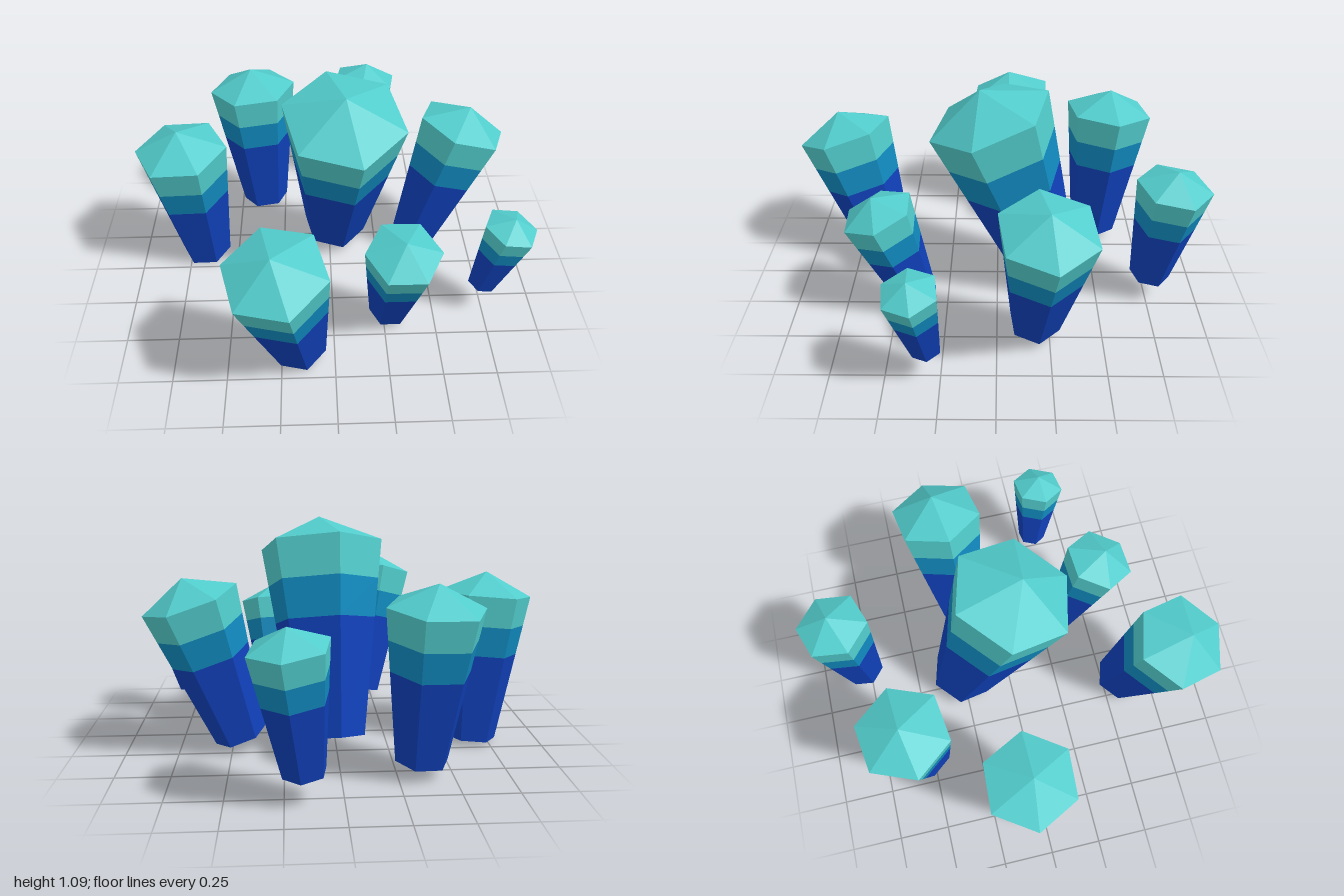
import * as THREE from 'three';

const SIDES = 6;
const BASE_RATIO = 0.55; // foot radius relative to shoulder radius
const SHOULDER = 1 / 1.15; // share of the axis below the pointed cap

// foot centre, tip, shoulder radius, heading of one corner in degrees
const CRYSTALS = [
  { name: 'centreCrystal', foot: [0.03, 0.075, -0.255], tip: [0.067, 1.085, 0.082], r: 0.3, turn: 15 },
  { name: 'leftBackCrystal', foot: [-0.36, 0.065, -0.53], tip: [-0.405, 0.87, -0.585], r: 0.222, turn: -8 },
  { name: 'farLeftCrystal', foot: [-0.67, 0.015, -0.135], tip: [-0.737, 0.83, -0.06], r: 0.226, turn: 3 },
  { name: 'backCrystal', foot: [0.165, 0.125, -0.765], tip: [0.23, 0.755, -0.83], r: 0.178, turn: -20 },
  { name: 'rightCrystal', foot: [0.46, 0.065, -0.18], tip: [0.705, 0.84, -0.22], r: 0.226, turn: -9 },
  { name: 'frontCrystal', foot: [-0.165, 0.035, 0.59], tip: [-0.265, 0.812, 0.812], r: 0.232, turn: 15.5 },
  { name: 'smallFrontCrystal', foot: [0.275, 0.055, 0.385], tip: [0.31, 0.66, 0.575], r: 0.175, turn: -2 },
  { name: 'smallRightCrystal', foot: [0.74, 0.155, 0.31], tip: [0.838, 0.6, 0.362], r: 0.13, turn: -6 },
];

// separate faces so that every facet gets its own flat normal
function faceted(geometry) {
  const g = geometry.toNonIndexed();
  g.computeVertexNormals();
  return g;
}

function buildCrystal({ name, foot, tip, r, turn }, mats) {
  const group = new THREE.Group();
  group.name = name;
  const base = new THREE.Vector3(...foot);
  const axis = new THREE.Vector3(...tip).sub(base);
  const length = axis.length();
  const shaft = length * SHOULDER;
  const heading = THREE.MathUtils.degToRad(turn);
  const radiusAt = (t) => r * THREE.MathUtils.lerp(BASE_RATIO, 1, t);

  const add = (partName, geometry, material) => {
    const mesh = new THREE.Mesh(faceted(geometry), material);
    mesh.name = partName;
    group.add(mesh);
  };
  const ring = (y0, y1, r0, r1) =>
    new THREE.CylinderGeometry(r1, r0, y1 - y0, SIDES, 1, true, Math.PI / 2 - heading)
      .translate(0, (y0 + y1) / 2, 0);

  // three colour bands up the flaring shaft
  const bands = [
    ['lowerShaft', 0, 0.6, mats.deepBlue],
    ['middleShaft', 0.6, 0.8, mats.oceanBlue],
    ['upperShaft', 0.8, 1, mats.teal],
  ];
  for (const [part, a, b, mat] of bands) {
    add(part, ring(a * shaft, b * shaft, radiusAt(a), radiusAt(b)), mat);
  }

  // shallow pointed cap and flat foot
  add('cap', ring(shaft, length, r, 0), mats.teal);
  add('foot', new THREE.CircleGeometry(radiusAt(0), SIDES, heading).rotateX(Math.PI / 2), mats.deepBlue);

  // lean along the axis
  group.position.copy(base);
  group.quaternion.setFromUnitVectors(new THREE.Vector3(0, 1, 0), axis.normalize());
  return group;
}

export function createModel() {
  const material = (name, color) => {
    const m = new THREE.MeshStandardMaterial({ color });
    m.name = name;
    return m;
  };
  const mats = {
    teal: material('teal', 0x52cccc),
    oceanBlue: material('oceanBlue', 0x118abf),
    deepBlue: material('deepBlue', 0x1040b8),
  };
  const model = new THREE.Group();
  model.name = 'crystalCluster';
  for (const crystal of CRYSTALS) model.add(buildCrystal(crystal, mats));
  return model;
}
